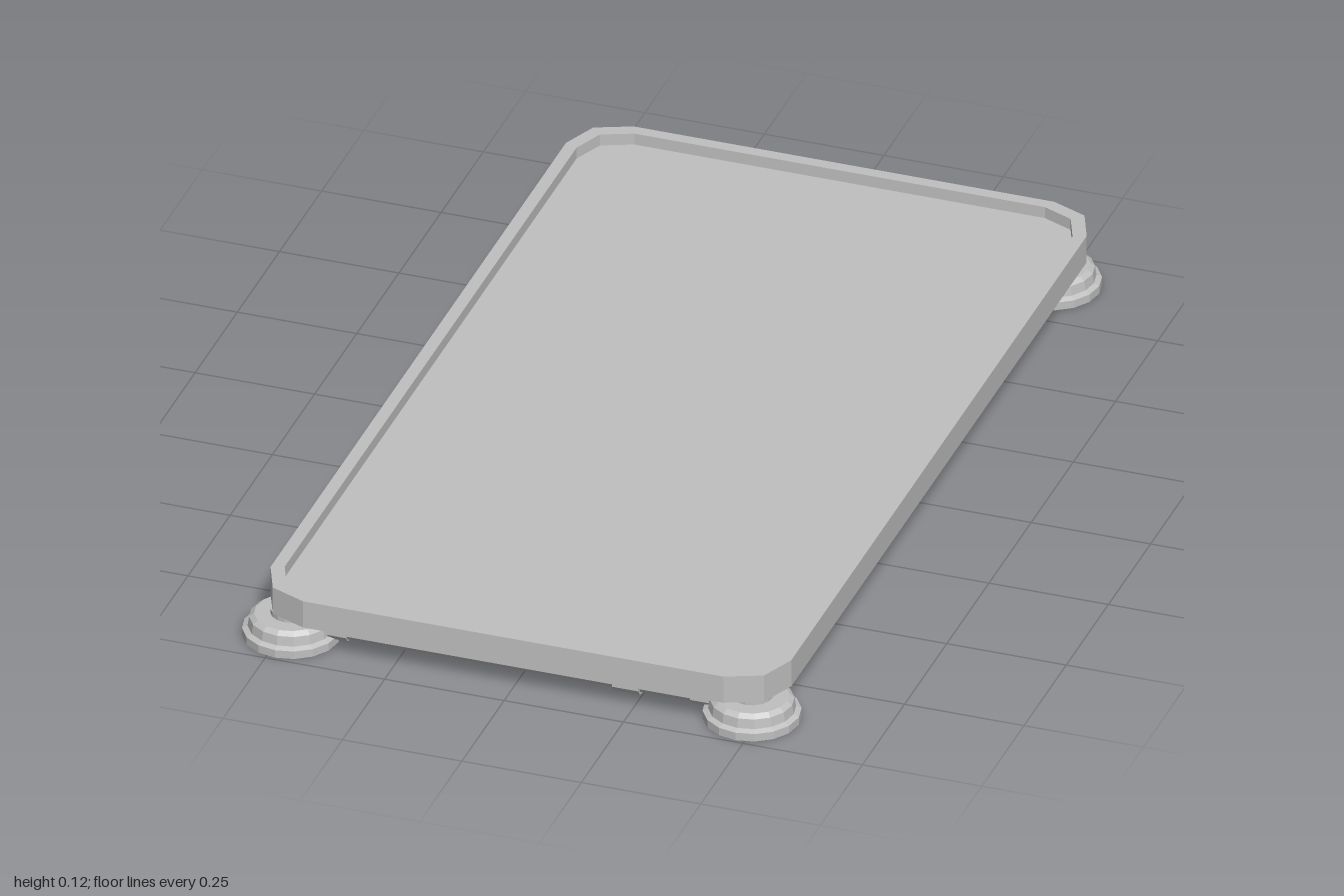
import * as THREE from 'three';

// Rectangle with two-facet corners, in the x / -z plane
function cornered(PathType, x0, x1, z0, z1, r) {
  const path = new PathType();
  const corners = [[x1 - r, -z0 - r, 0], [x0 + r, -z0 - r, 1], [x0 + r, -z1 + r, 2], [x1 - r, -z1 + r, 3]];
  const points = [];
  for (const [cx, cy, quarter] of corners) {
    for (let i = 0; i <= 2; i++) {
      const a = (quarter + i / 2) * Math.PI / 2;
      points.push(new THREE.Vector2(cx + r * Math.cos(a), cy + r * Math.sin(a)));
    }
  }
  path.setFromPoints(points);
  path.closePath();
  return path;
}

export function createModel() {
  const group = new THREE.Group();
  const grey = new THREE.MeshStandardMaterial({ color: 0xc0c0c0 });
  grey.name = 'plain grey';
  grey.flatShading = true;

  const add = (name, geometry, x = 0, y = 0, z = 0, parent = group) => {
    const mesh = new THREE.Mesh(geometry, grey);
    mesh.name = name;
    mesh.position.set(x, y, z);
    parent.add(mesh);
    return mesh;
  };
  const slab = (shape, depth) =>
    new THREE.ExtrudeGeometry(shape, { depth, bevelEnabled: false }).rotateX(-Math.PI / 2);

  // Tray: recessed floor inside a raised rim
  const [x0, x1, z0, z1, r, t] = [-0.54, 0.55, -1, 0.96, 0.105, 0.026];
  const inner = (PathType) => cornered(PathType, x0 + t, x1 - t, z0 + t, z1 - t, r - t * 0.6);
  add('trayBase', slab(cornered(THREE.Shape, x0, x1, z0, z1, r), 0.035), 0, 0.06, 0);
  const rim = cornered(THREE.Shape, x0, x1, z0, z1, r);
  rim.holes.push(inner(THREE.Path));
  add('trayRim', slab(rim, 0.025), 0, 0.095, 0);

  // Stepped round feet with a short neck under the tray
  const profile = [[0, 0], [0.098, 0], [0.098, 0.017], [0.087, 0.022], [0.084, 0.042],
    [0.074, 0.05], [0.042, 0.05], [0.042, 0.061], [0, 0.061]]
    .map(([px, py]) => new THREE.Vector2(px, py));
  const footGeometry = new THREE.LatheGeometry(profile, 16);
  for (const x of [-0.482, 0.482]) {
    for (const z of [-0.885, 0.895]) add('foot', footGeometry, x, 0, z);
  }

  // Tubular rails with collars, built along z
  function rail(name, length, collars) {
    const g = new THREE.Group();
    g.name = name;
    const tube = (radius, len) => new THREE.CylinderGeometry(radius, radius, len, 10).rotateX(Math.PI / 2);
    add('bar', tube(0.02, length), 0, 0, 0, g);
    for (const [z, len, radius] of collars) add('collar', tube(radius, len), 0, 0, z, g);
    for (const s of [-1, 1]) add('endSleeve', tube(0.024, 0.1), 0, 0, s * (length / 2 - 0.07), g);
    group.add(g);
    return g;
  }
  for (const x of [-0.485, 0.485]) {
    rail('sideRail', 1.78, [[0.235, 0.055, 0.026], [0.005, 0.095, 0.028], [-0.655, 0.055, 0.026]])
      .position.set(x, 0.034, 0.005);
  }
  const front = rail('frontRail', 0.96, [[0.225, 0.055, 0.026]]);
  front.rotation.y = Math.PI / 2;
  front.position.set(0, 0.034, 0.895);

  return group;
}
